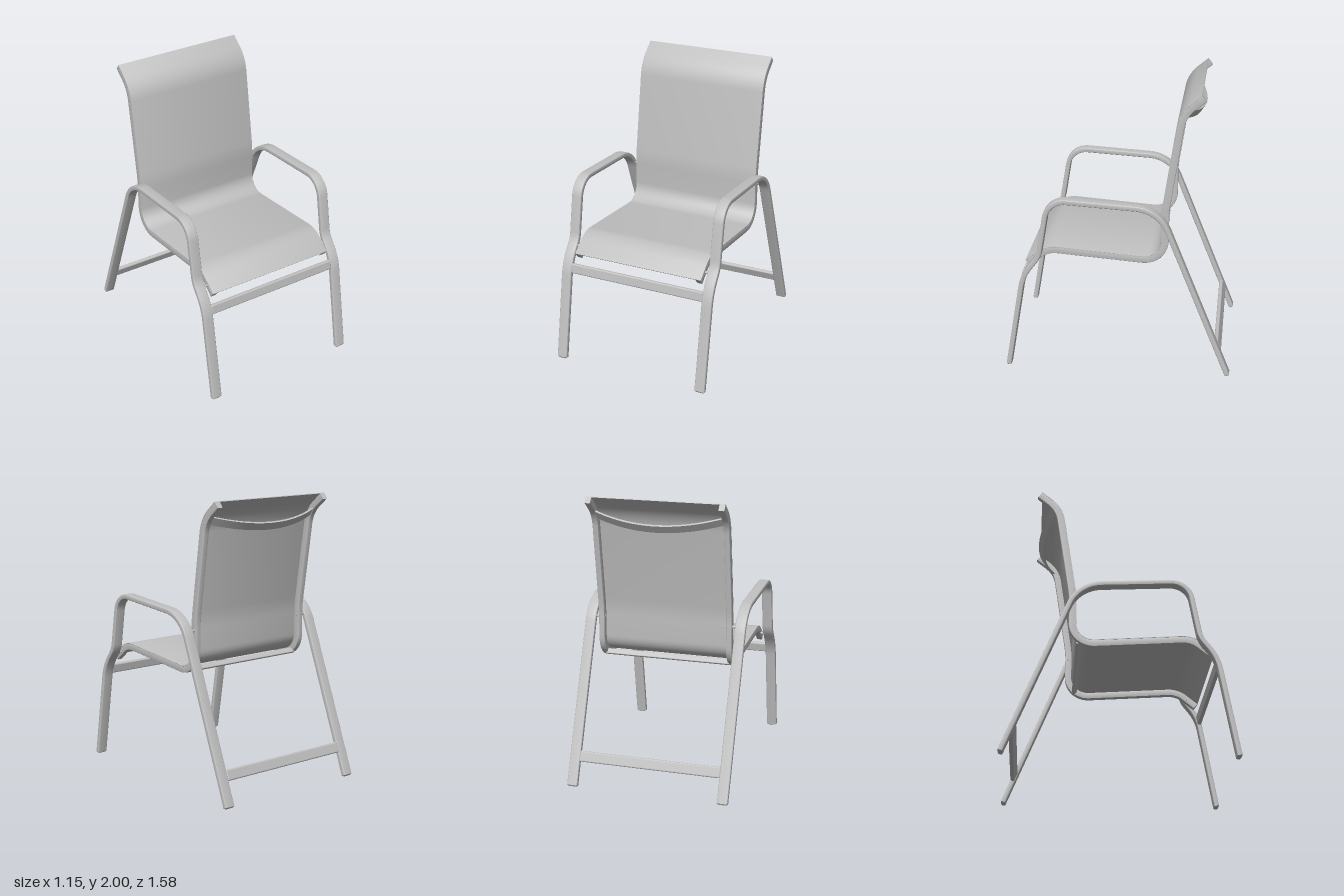
import * as THREE from 'three';
import { toCreasedNormals } from 'three/addons/utils/BufferGeometryUtils.js';
import { RoundedBoxGeometry } from 'three/addons/geometries/RoundedBoxGeometry.js';

// Side-on path (z, y) through corners [z, y, roundingLength]
function roundedPath(corners, segments = 12) {
  const p = corners.map(([z, y]) => new THREE.Vector2(z, y));
  const path = new THREE.CurvePath();
  let from = p[0];
  for (let i = 1; i < p.length - 1; i++) {
    const inDir = p[i].clone().sub(p[i - 1]).normalize();
    const outDir = p[i + 1].clone().sub(p[i]).normalize();
    const t = corners[i][2];
    const angle = Math.acos(inDir.dot(outDir));
    const handle = (4 / 3) * Math.tan(angle / 4) * t / Math.tan(angle / 2);
    const a = p[i].clone().addScaledVector(inDir, -t);
    const b = p[i].clone().addScaledVector(outDir, t);
    path.add(new THREE.LineCurve(from, a));
    path.add(new THREE.CubicBezierCurve(a, a.clone().addScaledVector(inDir, handle),
      b.clone().addScaledVector(outDir, -handle), b));
    from = b;
  }
  path.add(new THREE.LineCurve(from, p[p.length - 1]));
  return path.getPoints(segments);
}

// Rounded rectangle section: a runs along x, b across the bar
function section(halfW, halfH, r) {
  const out = [];
  [[1, 1], [-1, 1], [-1, -1], [1, -1]].forEach(([sx, sy], q) => {
    for (let k = 0; k <= 3; k++) {
      const t = (q + k / 3) * Math.PI / 2;
      out.push([sx * (halfW - r) + r * Math.cos(t), sy * (halfH - r) + r * Math.sin(t)]);
    }
  });
  return out;
}

// Sweep a flat bar along a side-on path, with softened ends
function sweepBar(points, halfW, halfH, r, soft = 0, offset = 0) {
  const full = section(halfW, halfH, r);
  const small = section(halfW - soft, halfH - soft, r);
  const n = full.length, last = points.length - 1;
  const pos = [], index = [];
  let rings = 0;
  const addRing = (p, d, sec, along) => {
    for (const [a, b] of sec) {
      const h = b + offset;
      pos.push(a, p.y + d.y * along - d.x * h, p.x + d.x * along + d.y * h);
    }
    rings++;
  };
  points.forEach((p, i) => {
    const d = points[Math.min(i + 1, last)].clone().sub(points[Math.max(i - 1, 0)]).normalize();
    if (i === 0 && soft) addRing(p, d, small, 0);
    addRing(p, d, full, i === 0 ? soft : i === last ? -soft : 0);
    if (i === last && soft) addRing(p, d, small, 0);
  });
  for (let i = 0; i < rings - 1; i++) {
    for (let j = 0; j < n; j++) {
      const k = (j + 1) % n, a = i * n + j, b = i * n + k;
      index.push(a, a + n, b, b, a + n, b + n);
    }
  }
  const end = (rings - 1) * n;
  for (let j = 1; j < n - 1; j++) {
    index.push(0, j, j + 1, end, end + j + 1, end + j);
  }
  const g = new THREE.BufferGeometry();
  g.setAttribute('position', new THREE.Float32BufferAttribute(pos, 3));
  g.setIndex(index);
  return toCreasedNormals(g, 0.35);
}

export function createModel() {
  const chair = new THREE.Group();
  chair.name = 'chair';
  const grey = new THREE.MeshStandardMaterial({ color: 0xc0c0c0 });
  grey.name = 'lightGrey';

  const add = (name, geometry, x = 0, y = 0, z = 0, tilt = 0) => {
    const mesh = new THREE.Mesh(geometry, grey);
    mesh.name = name;
    mesh.position.set(x, y, z);
    mesh.rotation.x = tilt;
    chair.add(mesh);
    return mesh;
  };

  // Each side's front leg, armrest and rear leg are one bent bar
  const legPath = roundedPath([
    [0.775, 0], [0.655, 0.7, 0.09], [0.542, 0.845, 0.045],
    [0.47, 1.265, 0.125], [-0.285, 1.222, 0.16], [-0.775, 0],
  ]);
  // Each side's seat and back rail
  const railPath = roundedPath([
    [0.632, 0.76], [0.495, 0.872, 0.07], [-0.32, 0.812, 0.155],
    [-0.32, 1.18, 0.06], [-0.425, 1.868, 0.09], [-0.564, 1.981],
  ]);
  const legGeometry = sweepBar(legPath, 0.0375, 0.0175, 0.009, 0.009);
  const railGeometry = sweepBar(railPath, 0.02, 0.025, 0.006);
  const pinGeometry = new THREE.CylinderGeometry(0.009, 0.009, 0.09, 16).rotateZ(Math.PI / 2);

  for (const [side, s] of [['left', 1], ['right', -1]]) {
    add(side + 'LegAndArm', legGeometry, s * 0.5375);
    add(side + 'SeatRail', railGeometry, s * 0.459);
    add(side + 'BackPin', pinGeometry, s * 0.478, 1.115, -0.325);
    add(side + 'SeatPin', pinGeometry, s * 0.478, 0.807, 0.57);
  }

  // Sling stretched over the rails
  add('slingFabric', sweepBar(railPath, 0.48, 0.003, 0.001, 0, 0.0235));

  // Cross bars between the legs and under the seat bend
  add('frontCrossBar', new RoundedBoxGeometry(1.01, 0.07, 0.03, 3, 0.01), 0, 0.67, 0.66, -0.165);
  add('rearCrossBar', new RoundedBoxGeometry(1.01, 0.075, 0.03, 3, 0.01), 0, 0.2, -0.7, 0.381);
  add('seatCrossBar', new RoundedBoxGeometry(0.9, 0.04, 0.02, 3, 0.006), 0, 0.842, -0.275, 0.785);

  // Bowed brace behind the top of the back
  const bow = (x) => 0.105 * (1 - (x / 0.45) ** 2);
  const outline = [];
  for (let i = 0; i <= 24; i++) {
    const x = -0.45 + i * 0.0375;
    outline.push(new THREE.Vector2(x, bow(x)));
  }
  for (let i = 24; i >= 0; i--) {
    const x = -0.45 + i * 0.0375;
    outline.push(new THREE.Vector2(x, bow(x) - 0.014));
  }
  const brace = new THREE.ExtrudeGeometry(new THREE.Shape(outline), { depth: 0.06, bevelEnabled: false });
  brace.applyMatrix4(new THREE.Matrix4().makeBasis(
    new THREE.Vector3(1, 0, 0), new THREE.Vector3(0, -0.57, -0.82), new THREE.Vector3(0, 0.82, -0.57)));
  add('backBrace', toCreasedNormals(brace, 0.35), 0, 1.841, -0.446);

  return chair;
}
